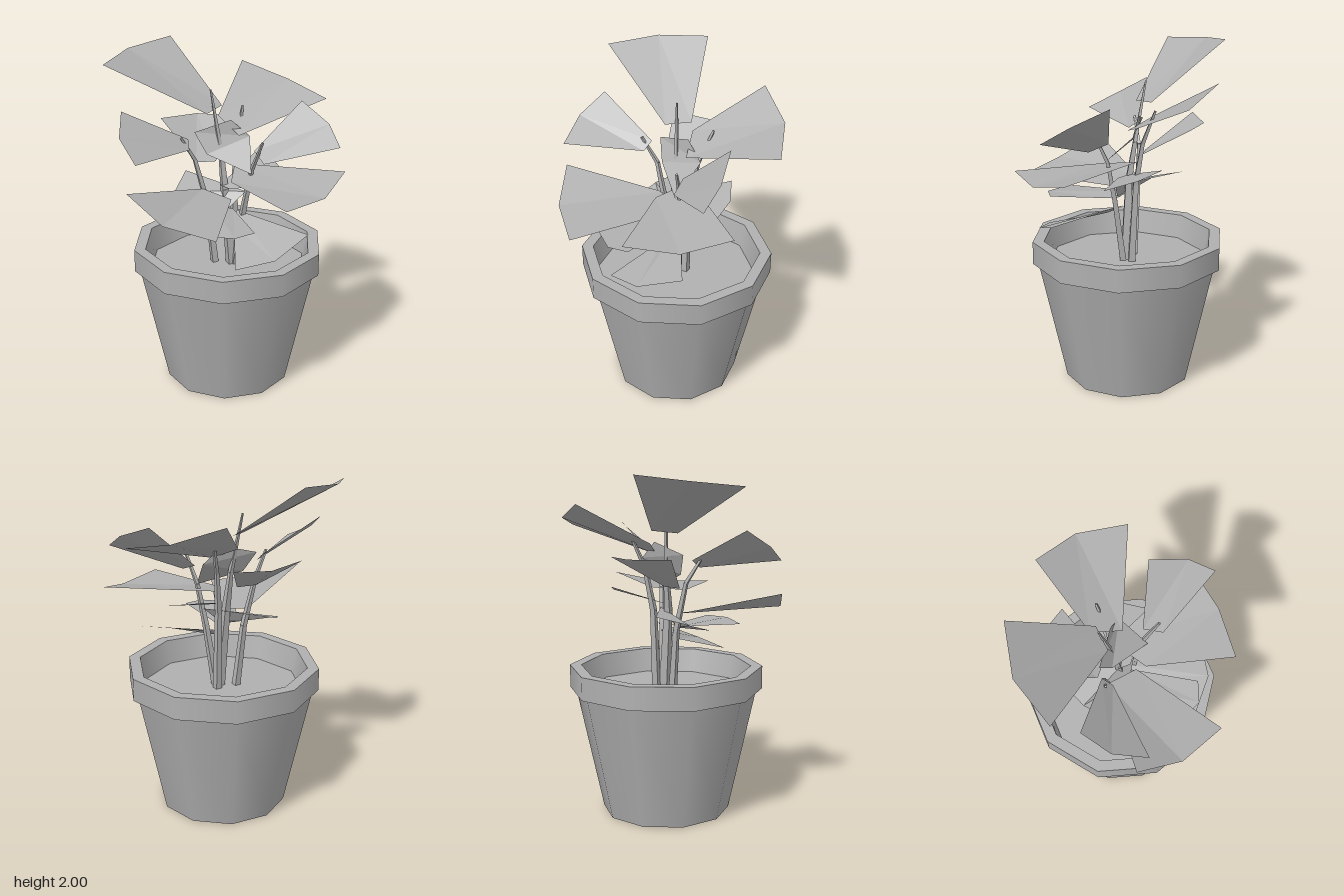
import * as THREE from 'three';
import { mergeGeometries } from 'three/addons/utils/BufferGeometryUtils.js';

const grey = new THREE.MeshStandardMaterial({ color: 0xb0b0b0, side: THREE.DoubleSide });
grey.name = 'clay grey';
const greyFlat = grey.clone();
greyFlat.flatShading = true;
greyFlat.name = 'clay grey faceted';

const SIDES = 10;
const UP = new THREE.Vector3(0, 1, 0);

function mesh(name, geometry, material = grey) {
  const m = new THREE.Mesh(geometry, material);
  m.name = name;
  return m;
}

// Ten-sided turned shape: each profile step is its own band so its edges stay sharp
function turned(profile) {
  const bands = [];
  for (let i = 0; i + 1 < profile.length; i++) {
    const pair = [profile[i], profile[i + 1]].map(([r, y]) => new THREE.Vector2(r, y));
    bands.push(new THREE.LatheGeometry(pair, SIDES, Math.PI / 2));
  }
  return mergeGeometries(bands);
}

// Four-sided stem tapering along a bent path
function stem(points, r0, r1) {
  const path = points.map((p) => new THREE.Vector3(...p));
  const n = path.length - 1;
  const parts = [];
  for (let i = 0; i < n; i++) {
    const dir = path[i + 1].clone().sub(path[i]);
    const radius = (k) => r0 + (r1 - r0) * (k / n);
    const g = new THREE.CylinderGeometry(radius(i + 1), radius(i), dir.length(), 4, 1, i > 0 && i < n - 1);
    g.applyQuaternion(new THREE.Quaternion().setFromUnitVectors(UP, dir.clone().normalize()));
    const mid = path[i].clone().add(path[i + 1]).multiplyScalar(0.5);
    g.translate(mid.x, mid.y, mid.z);
    parts.push(g);
  }
  return mesh('stem', mergeGeometries(parts), greyFlat);
}

// Fan-shaped leaf: narrow inner edge a-b, broad outer edge o0-o1-o2
function leaf(a, b, o0, o1, o2) {
  let tris = [a, o0, o1, a, o1, b, b, o1, o2];
  // keep the upper side as the front
  const v = [a, o0, o2].map((p) => new THREE.Vector3(...p));
  const normal = v[1].sub(v[0]).cross(v[2].sub(v[0]));
  if (normal.y < 0) tris = tris.reverse();
  const g = new THREE.BufferGeometry();
  g.setAttribute('position', new THREE.Float32BufferAttribute(tris.flat(), 3));
  g.computeVertexNormals();
  return mesh('leaf', g, greyFlat);
}

function branch(name, ...parts) {
  const g = new THREE.Group();
  g.name = name;
  g.add(...parts);
  return g;
}

export function createModel() {
  const model = new THREE.Group();
  model.name = 'pottedPlant';

  // Pot: hollow tapered body with an overhanging rim
  const pot = new THREE.Group();
  pot.name = 'pot';
  pot.position.set(-0.013, 0, -0.05);
  pot.add(mesh('potBody', turned([[0.468, 0.73], [0.335, 0], [0.375, 0], [0.535, 0.735]])));
  pot.add(mesh('potRim', turned([[0.535, 0.735], [0.567, 0.735], [0.567, 0.87], [0.5, 0.87], [0.468, 0.73]])));
  const soil = mesh('soil', new THREE.CircleGeometry(0.468, SIDES));
  soil.rotation.x = -Math.PI / 2;
  soil.position.y = 0.73;
  pot.add(soil);
  model.add(pot);

  // Tall middle stem with the topmost leaf
  model.add(branch('middleBranch',
    stem([[0.01, 0.73, -0.05], [-0.03, 1.2, -0.04], [-0.06, 1.43, -0.06], [-0.13, 1.78, -0.08]], 0.036, 0.006),
    leaf([-0.09, 1.67, -0.155], [-0.126, 1.655, -0.01], [-0.5, 2, -0.36], [-0.655, 1.97, -0.1], [-0.665, 1.94, 0.2]),
    leaf([-0.2, 1.35, -0.02], [-0.1, 1.35, -0.08], [-0.48, 1.55, -0.15], [-0.33, 1.54, -0.35], [-0.13, 1.535, -0.4]),
    leaf([-0.12, 1.42, 0.01], [-0.2, 1.54, 0], [0.15, 1.33, 0], [0.08, 1.5, -0.165], [-0.02, 1.6, -0.12])));

  // Back stem
  model.add(branch('backBranch',
    stem([[0.01, 0.73, -0.1], [0, 1.2, -0.12], [0, 1.45, -0.17], [0, 1.65, -0.26]], 0.028, 0.008),
    leaf([-0.12, 1.6, -0.17], [0.04, 1.52, -0.09], [-0.128, 1.83, -0.595], [0.16, 1.735, -0.62], [0.437, 1.67, -0.505]),
    leaf([-0.05, 1.23, -0.02], [0.02, 1.22, 0], [0.05, 1.34, -0.36], [0.2, 1.3, -0.31], [0.33, 1.245, -0.17])));

  // Right-hand stem
  model.add(branch('rightBranch',
    stem([[-0.09, 0.73, -0.03], [-0.13, 1.1, -0.02], [-0.19, 1.38, 0.02], [-0.24, 1.53, 0.1]], 0.026, 0.008),
    leaf([-0.22, 1.51, 0.045], [-0.19, 1.465, 0.1], [-0.535, 1.7, 0.255], [-0.47, 1.6, 0.42], [-0.315, 1.505, 0.545]),
    leaf([-0.15, 1.2, 0], [0.04, 1.17, 0.03], [-0.385, 1.325, 0.525], [-0.13, 1.21, 0.62], [0.175, 1.165, 0.61]),
    leaf([0.1, 1.2, -0.05], [0, 1.09, 0.02], [-0.345, 1.22, -0.2], [-0.33, 1.16, 0], [-0.255, 1.11, 0.15])));

  // Left-hand stem
  model.add(branch('leftBranch',
    stem([[0.03, 0.73, -0.05], [0.09, 1.1, -0.04], [0.14, 1.34, -0.03], [0.22, 1.53, 0.01]], 0.026, 0.008),
    leaf([0.15, 1.455, -0.045], [0.235, 1.41, 0.03], [0.363, 1.72, -0.25], [0.56, 1.635, -0.14], [0.66, 1.545, -0.02]),
    leaf([0, 1.335, -0.13], [0.06, 1.3, 0.09], [0.65, 1.345, -0.195], [0.615, 1.28, 0.09], [0.485, 1.29, 0.375]),
    leaf([0.04, 1.07, -0.06], [0.06, 1.01, 0.04], [0.515, 1.03, 0.05], [0.395, 0.945, 0.28], [0.2, 0.905, 0.39]),
    leaf([-0.1, 1.115, 0], [0.04, 1.1, 0], [0, 1.09, 0.42], [0.2, 1.1, 0.4], [0.28, 1.105, 0.3])));

  return model;
}
